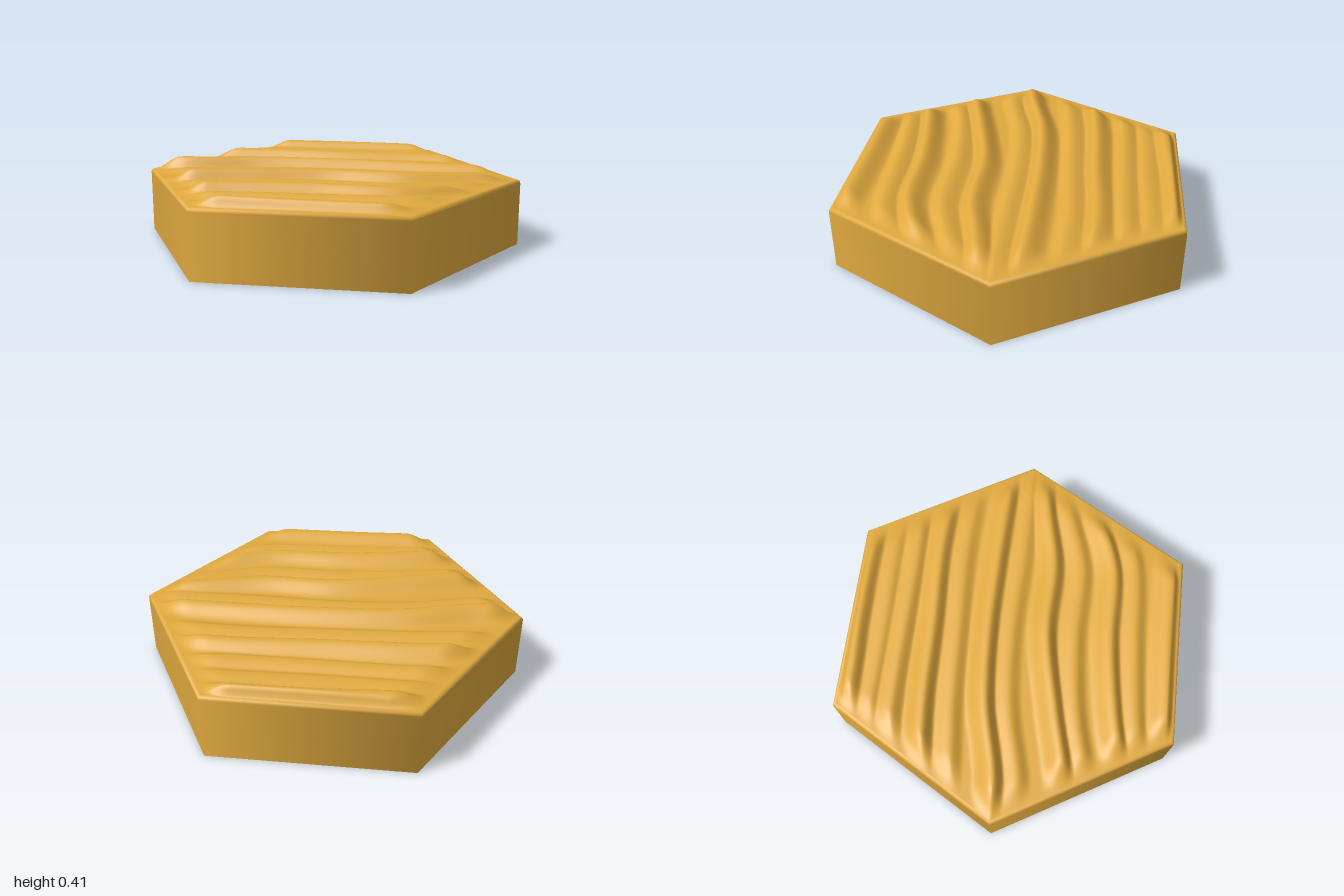
import * as THREE from 'three';

const RIM_Y = 0.345;          // height of the rim and of the troughs
const TOP_RADIUS = 0.98;      // corner radius of the rippled top
const HALF_DEPTH = TOP_RADIUS * Math.sqrt(3) / 2;

// Each ripple: height, then z of its steep face at x = -0.8, -0.4, 0, 0.4, 0.8
const ripples = [
  [0.055, -0.76, -0.75, -0.77, -0.77, -0.75],
  [0.025, -0.64, -0.64, -0.64, -0.65, -0.64],
  [0.038, -0.51, -0.53, -0.53, -0.53, -0.55],
  [0.062, -0.34, -0.37, -0.38, -0.40, -0.39],
  [0.032, -0.19, -0.23, -0.25, -0.27, -0.26],
  [0.070, 0.03, -0.06, -0.09, -0.09, -0.08],
  [0.030, 0.15, 0.06, 0.03, 0.04, 0.04],
  [0.070, 0.38, 0.29, 0.21, 0.21, 0.13],
  [0.035, 0.49, 0.40, 0.36, 0.36, 0.25],
  [0.065, 0.67, 0.59, 0.54, 0.53, 0.41],
  [0.035, 0.76, 0.70, 0.67, 0.65, 0.58],
  [0.052, 0.86, 0.85, 0.84, 0.84, 0.83],
].map(([height, ...zs]) => ({
  height,
  line: new THREE.SplineCurve(zs.map((z, i) => new THREE.Vector2(-0.8 + 0.4 * i, z))),
}));

const { smoothstep, clamp } = THREE.MathUtils;

// Gentle rise from the back, crest, then a steep drop to the front
function rippleHeight(x, z) {
  const t = clamp((x + 0.8) / 1.6, 0, 1);
  let h = 0;
  for (const { height, line } of ripples) {
    const d = z - line.getPoint(t).y;
    const shape = smoothstep(d, -0.15, -0.04) * (1 - smoothstep(d, -0.035, 0.03));
    h = Math.max(h, height * (1 - 0.3 * t) * shape);
  }
  return h;
}

// Ripples die away towards the border, more slowly at the slanted sides
function borderFade(x, z) {
  const slanted = HALF_DEPTH - (Math.abs(x) * Math.sqrt(3) + Math.abs(z)) / 2;
  const straight = HALF_DEPTH - Math.abs(z);
  return smoothstep(slanted, 0, 0.13) * smoothstep(straight, 0, 0.03);
}

// Grid squeezed into a hexagon and raised by the ripples
function makeTop() {
  const geometry = new THREE.PlaneGeometry(2, 2, 60, 180).rotateX(-Math.PI / 2);
  const p = geometry.attributes.position;
  for (let i = 0; i < p.count; i++) {
    const z = p.getZ(i) * HALF_DEPTH;
    const x = p.getX(i) * (TOP_RADIUS - Math.abs(z) / Math.sqrt(3));
    p.setXYZ(i, x, RIM_Y + rippleHeight(x, z) * borderFade(x, z), z);
  }
  geometry.computeVertexNormals();
  return geometry;
}

// Open six-sided wall with a small rounded rim
function makeWall() {
  const profile = [new THREE.Vector2(1, 0)];
  for (let i = 0; i <= 4; i++) {
    const a = (i / 4) * Math.PI / 2;
    profile.push(new THREE.Vector2(0.98 + 0.02 * Math.cos(a), RIM_Y - 0.02 + 0.02 * Math.sin(a)));
  }
  return new THREE.LatheGeometry(profile, 6, Math.PI / 2);
}

export function createModel() {
  const group = new THREE.Group();
  group.name = 'sandTile';
  const material = new THREE.MeshStandardMaterial({ color: 0xe0a93f, side: THREE.DoubleSide });
  const add = (name, geometry) => {
    const mesh = new THREE.Mesh(geometry, material);
    mesh.name = name;
    group.add(mesh);
  };
  add('wall', makeWall());
  add('rippledTop', makeTop());
  return group;
}
